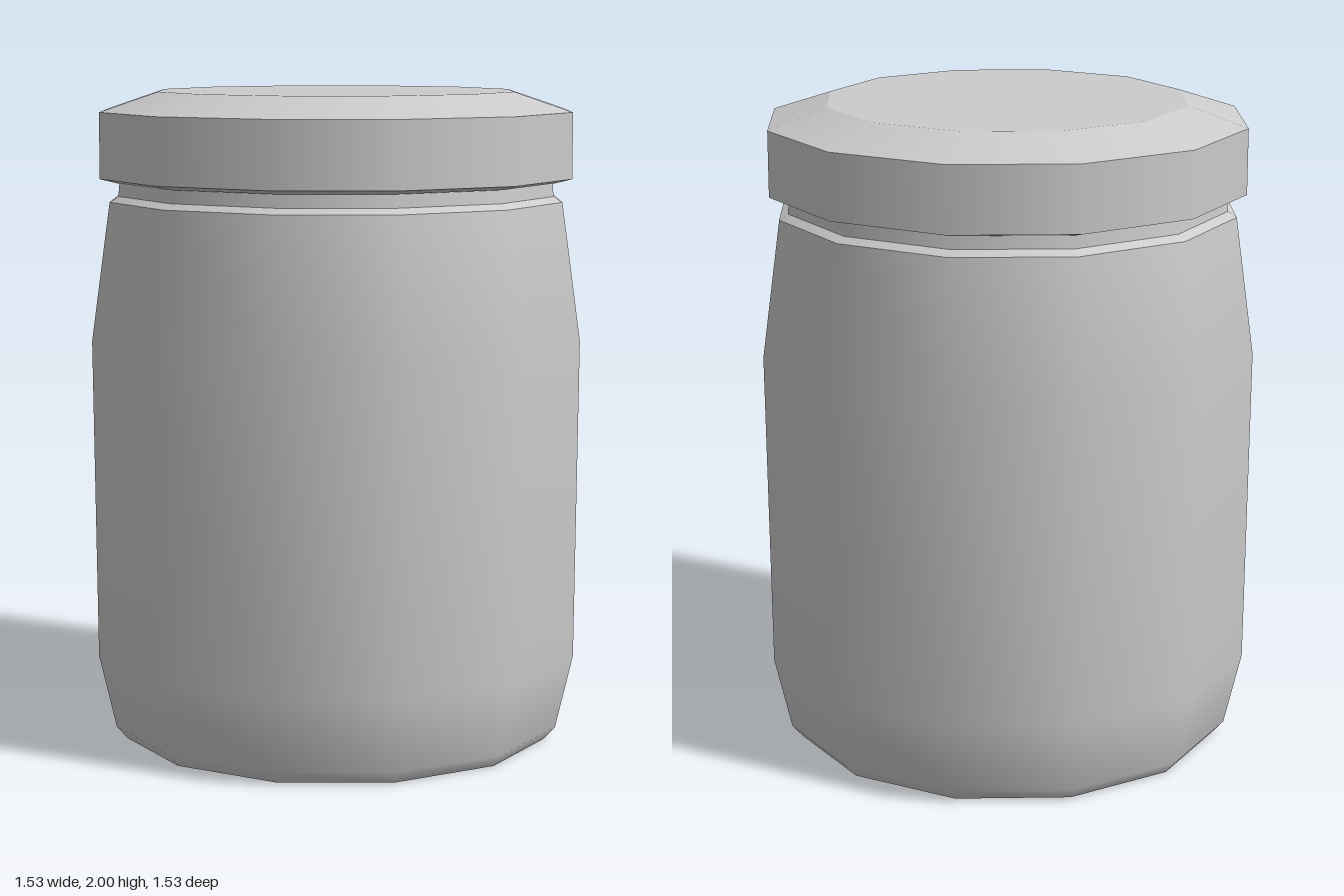
import * as THREE from 'three';
import { mergeGeometries } from 'three/addons/utils/BufferGeometryUtils.js';

const SIDES = 12;
const material = new THREE.MeshStandardMaterial({ color: 0xcccccc });

// Turns each [radius, height] run into a smooth band; edges between bands stay sharp.
function turned(name, bands) {
  const lathes = bands.map((band) =>
    new THREE.LatheGeometry(band.map(([r, y]) => new THREE.Vector2(r, y)), SIDES));
  const mesh = new THREE.Mesh(mergeGeometries(lathes), material);
  mesh.name = name;
  return mesh;
}

export function createModel() {
  const group = new THREE.Group();
  group.name = 'jar';

  // Base, bulging wall, small shoulder and neck
  group.add(turned('jarBody', [
    [[0, 0], [0.67, 0]],
    [[0.67, 0], [0.705, 0.04], [0.758, 0.27], [0.766, 1.25], [0.707, 1.67]],
    [[0.707, 1.67], [0.68, 1.687]],
    [[0.68, 1.687], [0.675, 1.74]],
  ]));

  // Underside, straight rim, sloped bevel and flat top
  group.add(turned('lid', [
    [[0, 1.727], [0.685, 1.727], [0.736, 1.74]],
    [[0.736, 1.74], [0.736, 1.94]],
    [[0.736, 1.94], [0.555, 2]],
    [[0.555, 2], [0, 2]],
  ]));

  return group;
}
